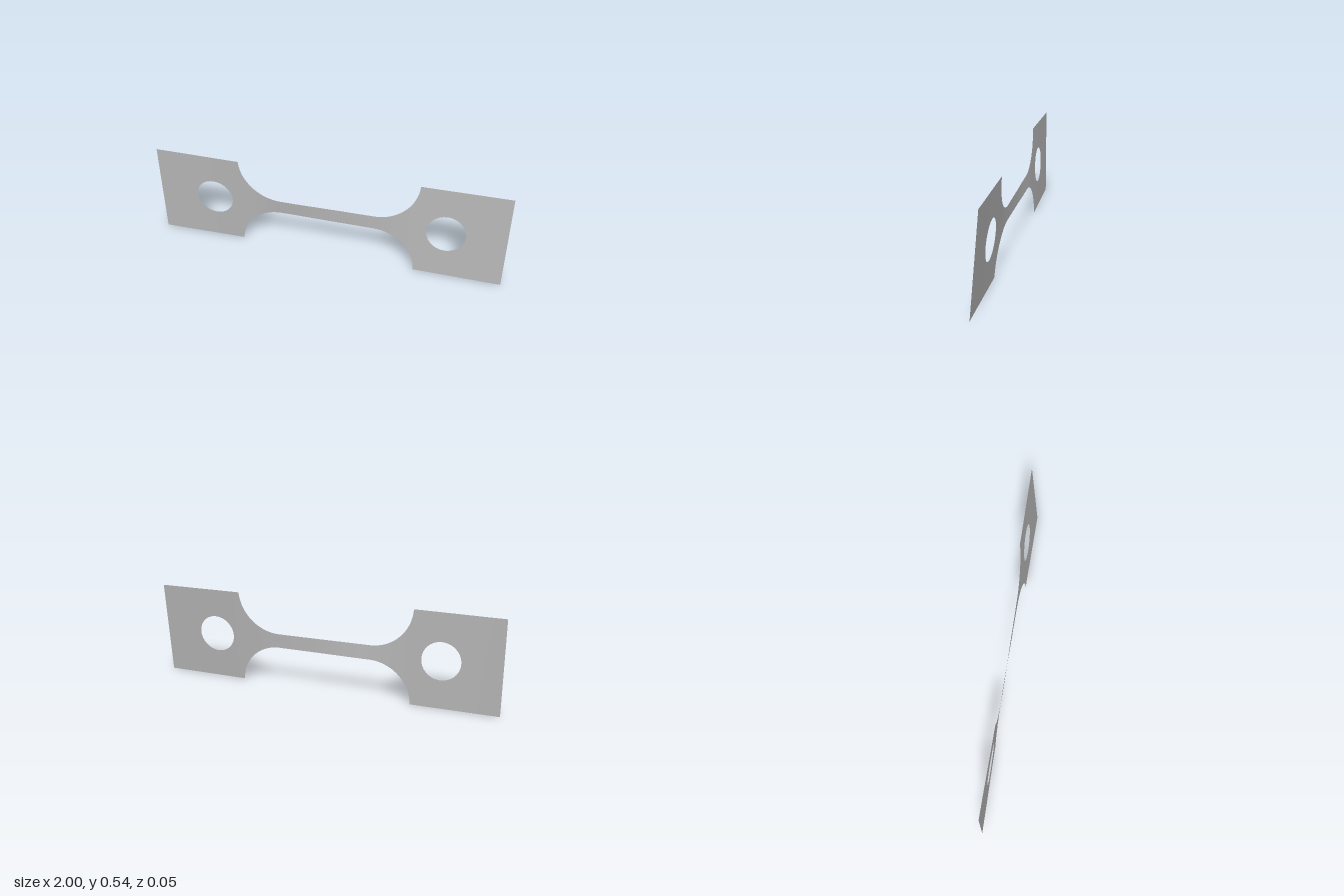
import * as THREE from 'three';

const MID = 0.271;            // height of the long axis
const HALF = 0.271;           // half height of the grips
const NECK = 0.041;           // half height of the neck
const FILLET = 0.24, FILLET_X = 0.27, GRIP_X = 0.51;
const HOLE_X = 0.67, HOLE_R = 0.108;

// Twist of the sheet along x, as slope dz/dy, smoothly eased between stations
const TWIST = [[-1, 0.002], [-0.5, 0.02], [-0.22, 0.08], [0.1, 0], [0.5, -0.08], [1, -0.092]];
function slope(x) {
  for (let i = 1; i < TWIST.length; i++) {
    const [x0, s0] = TWIST[i - 1], [x1, s1] = TWIST[i];
    if (x <= x1) return THREE.MathUtils.lerp(s0, s1, THREE.MathUtils.smoothstep(x, x0, x1));
  }
  return TWIST[TWIST.length - 1][1];
}

// Outer half height: straight grip, round fillet, straight neck
function outer(x) {
  const a = Math.abs(x);
  if (a >= GRIP_X) return HALF;
  if (a <= FILLET_X) return NECK;
  const d = a - FILLET_X;
  return Math.min(HALF, NECK + FILLET - Math.sqrt(Math.max(0, FILLET * FILLET - d * d)));
}

// Half height of the round hole
function inner(x) {
  const d = Math.abs(x) - HOLE_X;
  return Math.sqrt(Math.max(0, HOLE_R * HOLE_R - d * d));
}

// Evenly spaced stations, or stations spaced by angle round a curve
const even = (a, b, n) => Array.from({ length: n + 1 }, (_, i) => a + (b - a) * i / n);
const round = (c, r, from, to, n) => even(from, to, n).map((t) => c + r * Math.cos(t));

// Sheet made of an upper and a lower strip that part round the hole
function sheet(name, xs, material) {
  const pos = [], nor = [], idx = [];
  const stations = [...xs].sort((a, b) => a - b);
  for (const side of [-1, 1]) {
    const start = pos.length / 3;
    stations.forEach((x, i) => {
      const s = slope(x), lo = inner(x), hi = outer(x);
      const n = new THREE.Vector3(0, -s, 1).normalize();
      for (let j = 0; j <= 4; j++) {
        const v = side * (lo + (hi - lo) * j / 4);
        pos.push(x, MID + v, v * s);
        nor.push(n.x, n.y, n.z);
        if (i > 0 && j > 0) {
          const d = start + i * 5 + j, c = d - 1, b = d - 5, a = d - 6;
          if (side > 0) idx.push(a, c, d, a, d, b);
          else idx.push(a, d, c, a, b, d);
        }
      }
    });
  }
  const g = new THREE.BufferGeometry();
  g.setAttribute('position', new THREE.Float32BufferAttribute(pos, 3));
  g.setAttribute('normal', new THREE.Float32BufferAttribute(nor, 3));
  g.setIndex(idx);
  const mesh = new THREE.Mesh(g, material);
  mesh.name = name;
  return mesh;
}

export function createModel() {
  const group = new THREE.Group();
  group.name = 'twistedTestStrip';
  const steel = new THREE.MeshStandardMaterial({ color: 0xb4b4b4, side: THREE.DoubleSide });
  steel.name = 'grey steel';

  // Drilled grips and their fillets, mirrored in outline but not in twist
  const grip = [
    ...even(HOLE_X + HOLE_R, 1, 6).slice(1),
    ...round(HOLE_X, HOLE_R, 0, Math.PI, 32),
    ...even(GRIP_X, HOLE_X - HOLE_R, 3).slice(0, -1),
  ];
  const fillet = [...round(FILLET_X, FILLET, Math.PI / 2, 0.042, 24), GRIP_X];
  for (const [side, word] of [[-1, 'right'], [1, 'left']]) {
    group.add(sheet(word + 'Grip', grip.map((x) => x * side), steel));
    group.add(sheet(word + 'Fillet', fillet.map((x) => x * side), steel));
  }

  // Narrow neck
  group.add(sheet('neck', even(-FILLET_X, FILLET_X, 24), steel));
  return group;
}
